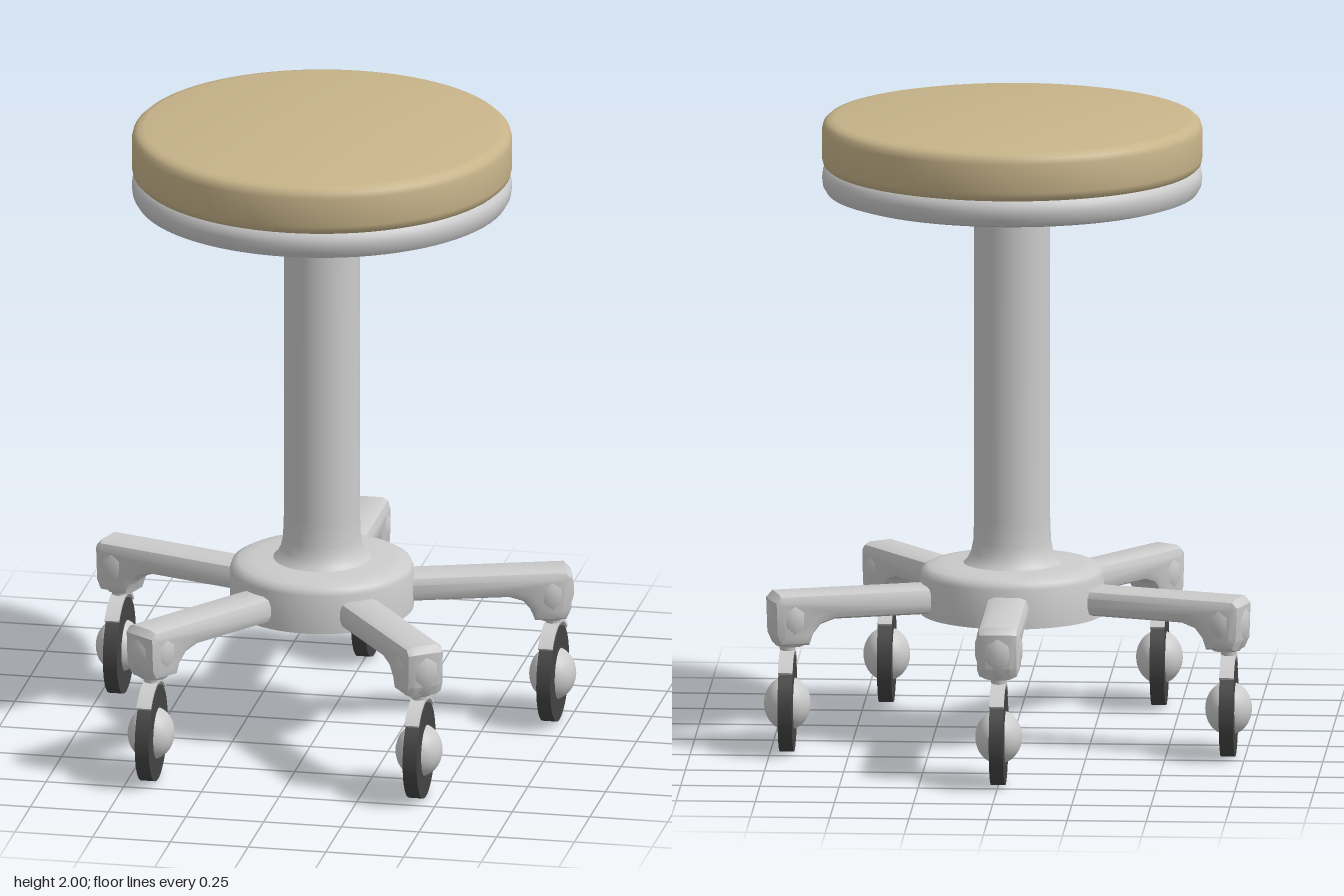
import * as THREE from 'three';
import { toCreasedNormals } from 'three/addons/utils/BufferGeometryUtils.js';

const grey = new THREE.MeshStandardMaterial({ color: 0xcccccc });
const fabric = new THREE.MeshStandardMaterial({ color: 0xc8b48a });
const rubber = new THREE.MeshStandardMaterial({ color: 0x444444 });

const CENTRE_Z = 0.06;
const CASTER_R = 0.733;
const WHEEL_R = 0.153;

function part(parent, name, geometry, material = grey) {
  const mesh = new THREE.Mesh(geometry, material);
  mesh.name = name;
  parent.add(mesh);
  return mesh;
}

// Revolved profile, bottom to top, with sharp edges kept
function lathe(points, segments = 64) {
  const profile = points.map(([r, y]) => new THREE.Vector2(r, y));
  return toCreasedNormals(new THREE.LatheGeometry(profile, segments), 0.7);
}

// L-shaped leg running out along +x, with chamfered edges
function legGeometry() {
  const outline = [
    [0.2, 0.425], [0.59, 0.425], [0.635, 0.41], [0.66, 0.38], [0.672, 0.345],
    [0.772, 0.345], [0.788, 0.38], [0.792, 0.49], [0.772, 0.512], [0.2, 0.512],
  ];
  const shape = new THREE.Shape(outline.map(([x, y]) => new THREE.Vector2(x, y)));
  const bevel = 0.028;
  const depth = 0.135 - 2 * bevel;
  const geometry = new THREE.ExtrudeGeometry(shape, {
    depth, bevelEnabled: true, bevelSize: bevel, bevelOffset: -bevel,
    bevelThickness: bevel, bevelSegments: 2,
  });
  geometry.translate(0, 0, -depth / 2);
  return toCreasedNormals(geometry, 0.5);
}

// Curved strip above a wheel, centred on the wheel axle
function fenderGeometry() {
  const half = 0.8;
  const shape = new THREE.Shape();
  shape.absarc(0, 0, 0.173, Math.PI / 2 - half, Math.PI / 2 + half, false);
  shape.absarc(0, 0, 0.163, Math.PI / 2 + half, Math.PI / 2 - half, true);
  const geometry = new THREE.ExtrudeGeometry(shape, {
    depth: 0.046, bevelEnabled: false, curveSegments: 20,
  });
  geometry.translate(0, 0, -0.023);
  geometry.rotateY(Math.PI / 2);
  return toCreasedNormals(geometry, 0.5);
}

function createCaster() {
  const caster = new THREE.Group();
  caster.name = 'caster';

  const tire = part(caster, 'tire', new THREE.CylinderGeometry(WHEEL_R, WHEEL_R, 0.045, 48), rubber);
  tire.rotation.z = Math.PI / 2;
  tire.position.y = WHEEL_R;

  const hub = part(caster, 'wheelHub', new THREE.SphereGeometry(0.085, 32, 20));
  hub.scale.x = 0.87;
  hub.position.y = WHEEL_R;

  part(caster, 'fender', fenderGeometry()).position.y = WHEEL_R;

  const stem = part(caster, 'stem', new THREE.CylinderGeometry(0.03, 0.022, 0.05, 16));
  stem.position.y = 0.34;
  return caster;
}

export function createModel() {
  const stool = new THREE.Group();
  stool.name = 'stool';

  // Upholstered cushion
  part(stool, 'seatCushion', lathe([
    [0, 1.845], [0.585, 1.845], [0.596, 1.855], [0.6, 1.872], [0.6, 1.965],
    [0.595, 1.983], [0.582, 1.995], [0.56, 2], [0, 2],
  ], 80), fabric);

  // Pan below the cushion, flaring out of the column
  part(stool, 'seatPan', lathe([
    [0.12, 1.69], [0.124, 1.708], [0.138, 1.724], [0.17, 1.735], [0.3, 1.747],
    [0.56, 1.757], [0.585, 1.765], [0.597, 1.785], [0.6, 1.81], [0.597, 1.832],
    [0.585, 1.845], [0, 1.845],
  ], 80));

  // Column with a flared foot
  part(stool, 'column', lathe([
    [0.16, 0.565], [0.143, 0.58], [0.13, 0.605], [0.123, 0.64], [0.12, 0.72], [0.12, 1.7],
  ], 48));

  // Base housing, hollow underneath
  part(stool, 'baseHousing', lathe([
    [0, 0.54], [0.15, 0.535], [0.24, 0.515], [0.272, 0.48], [0.28, 0.41],
    [0.29, 0.41], [0.29, 0.535], [0.283, 0.553], [0.265, 0.563], [0.22, 0.57], [0, 0.572],
  ]));

  // Five legs around the base, each on a caster; all wheels point the same way
  const leg = legGeometry();
  const socket = lathe([
    [0, 0.337], [0.045, 0.34], [0.06, 0.36], [0.075, 0.41], [0.075, 0.455], [0.062, 0.49], [0, 0.5],
  ], 12);
  for (let i = 0; i < 5; i++) {
    const angle = Math.PI / 2 + (i * Math.PI * 2) / 5;
    const arm = new THREE.Group();
    arm.name = 'leg';
    arm.rotation.y = angle;
    part(arm, 'legBar', leg);
    part(arm, 'casterSocket', socket).position.x = 0.725;
    stool.add(arm);

    const caster = createCaster();
    caster.position.set(CASTER_R * Math.cos(angle), 0, -CASTER_R * Math.sin(angle));
    stool.add(caster);
  }

  stool.position.z = CENTRE_Z;
  const model = new THREE.Group();
  model.name = 'rollingStool';
  model.add(stool);
  return model;
}
